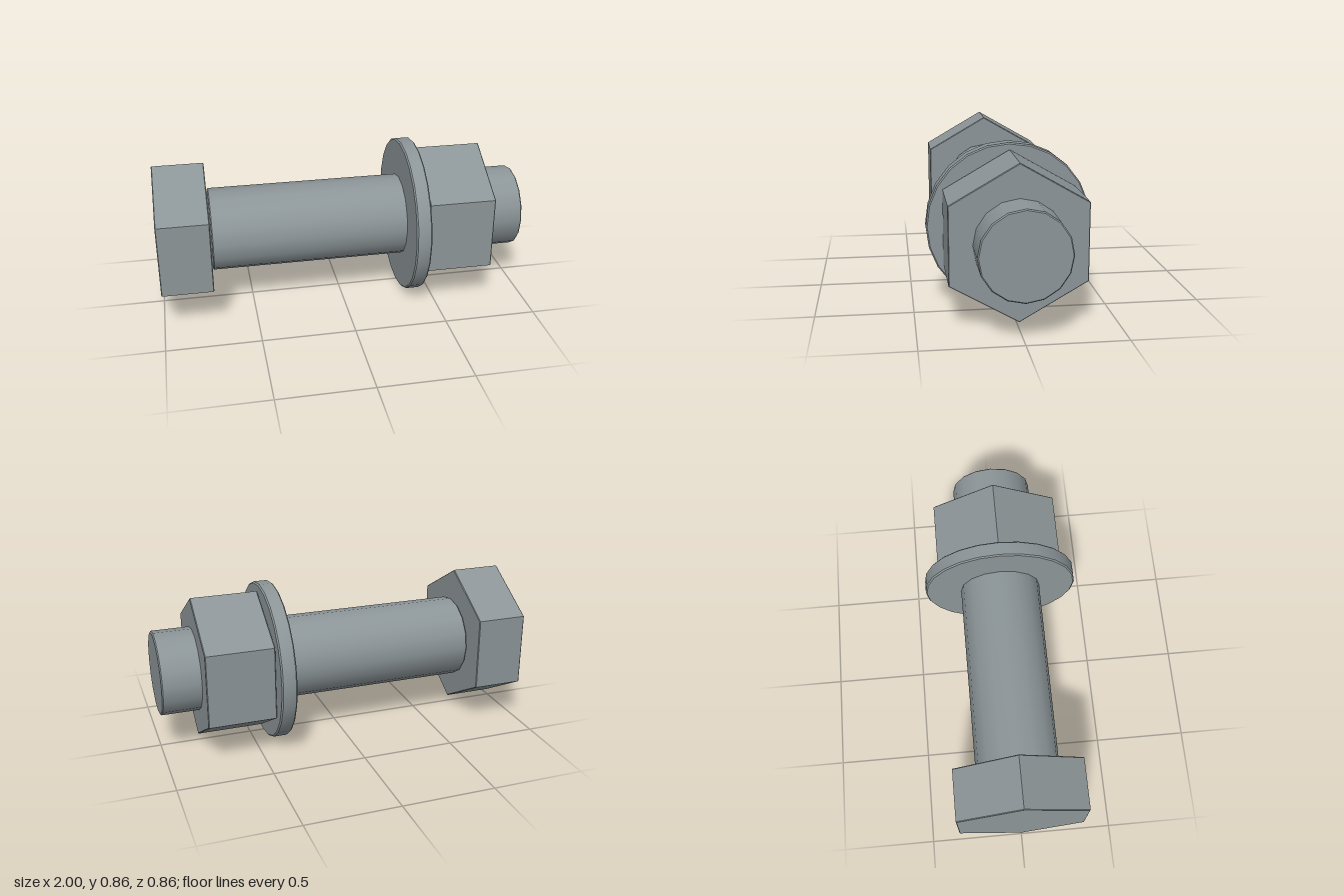
import * as THREE from 'three';
import { toCreasedNormals } from 'three/addons/utils/BufferGeometryUtils.js';

const AXIS_Y = 0.428;

// Solid prism lying along x, with narrow chamfers at both ends
function addPrism(group, material, name, x0, x1, radius, sides, bevel) {
  const profile = [
    [0, x0],
    [radius - bevel, x0],
    [radius, x0 + bevel],
    [radius, x1 - bevel],
    [radius - bevel, x1],
    [0, x1],
  ].map(([r, x]) => new THREE.Vector2(r, x));
  const lathe = new THREE.LatheGeometry(profile, sides);
  lathe.rotateY(Math.PI / 2); // a corner points straight up
  lathe.rotateZ(-Math.PI / 2); // lay the axis along x
  const mesh = new THREE.Mesh(toCreasedNormals(lathe, 0.5), material);
  mesh.name = name;
  mesh.position.y = AXIS_Y;
  group.add(mesh);
}

export function createModel() {
  const group = new THREE.Group();
  group.name = 'boltWithNut';
  const steel = new THREE.MeshStandardMaterial({ color: 0x8c9598 });
  steel.name = 'steel grey';

  addPrism(group, steel, 'boltHead', -1, -0.726, 0.394, 6, 0.004);
  addPrism(group, steel, 'shank', -0.718, 1, 0.225, 16, 0.006);
  addPrism(group, steel, 'washer', 0.342, 0.425, 0.428, 24, 0.007);
  addPrism(group, steel, 'nut', 0.432, 0.793, 0.394, 6, 0.004);
  return group;
}
